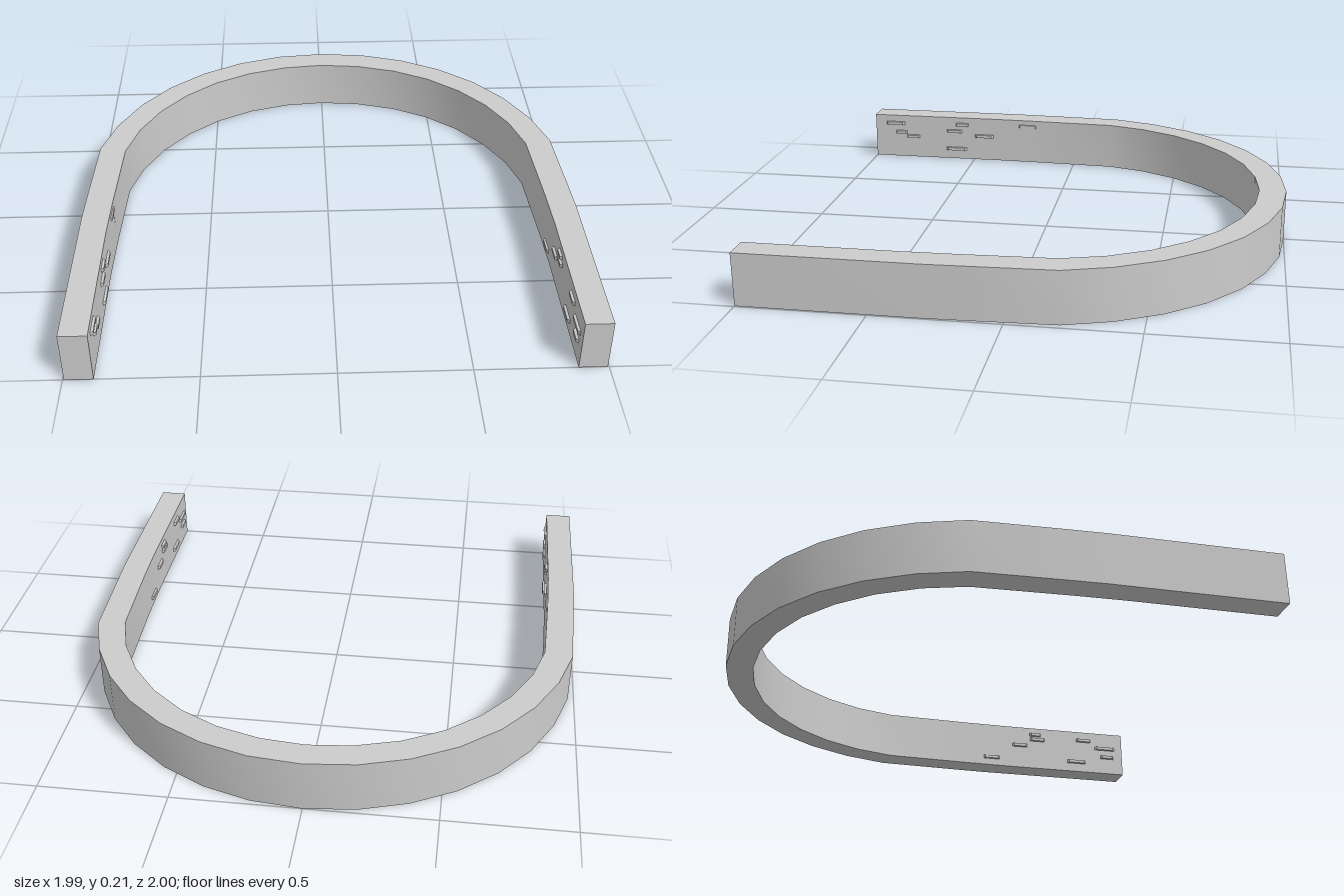
import * as THREE from 'three';
import { toCreasedNormals } from 'three/addons/utils/BufferGeometryUtils.js';

const HEIGHT = 0.21;

// half outlines as [x, z], from the middle of the bend to the open end
const OUTER = [[0, -1], [0.2, -0.98], [0.385, -0.923], [0.555, -0.832], [0.705, -0.708], [0.825, -0.56],
  [0.918, -0.385], [0.976, -0.2], [0.99, 0.15], [0.995, 0.3], [0.995, 1]];
const INNER = [[0, -0.89], [0.172, -0.873], [0.342, -0.823], [0.495, -0.742], [0.627, -0.632], [0.735, -0.5],
  [0.817, -0.345], [0.866, -0.18], [0.882, 0.2], [0.887, 0.4], [0.887, 1]];

// raised marks on each inner face: [z, y, length]
const RIGHT_MARKS = [[0.9, 0.17, 0.1], [0.81, 0.105, 0.07], [0.87, 0.125, 0.06], [0.59, 0.05, 0.11],
  [0.56, 0.175, 0.07], [0.6, 0.14, 0.08], [0.45, 0.12, 0.1], [0.23, 0.18, 0.1]];
const LEFT_MARKS = [[0.8, 0.165, 0.08], [0.91, 0.13, 0.11], [0.92, 0.085, 0.07], [0.76, 0.05, 0.1],
  [0.56, 0.15, 0.08], [0.47, 0.115, 0.08], [0.55, 0.175, 0.06], [0.325, 0.04, 0.09]];

// mirrors a half outline into a full one, running from -x to +x
function fullOutline(half) {
  const mirrored = half.slice(1).reverse().map(([x, z]) => [-x, z]);
  return [...mirrored, ...half].map(([x, z]) => new THREE.Vector2(x, z));
}

export function createModel() {
  const group = new THREE.Group();
  const grey = new THREE.MeshStandardMaterial({ color: 0xcccccc });
  grey.name = 'light grey';

  // U-shaped band, smooth around the bend with sharp rims
  const shape = new THREE.Shape([...fullOutline(OUTER), ...fullOutline(INNER).reverse()]);
  const bandGeometry = new THREE.ExtrudeGeometry(shape, { depth: HEIGHT, bevelEnabled: false });
  bandGeometry.rotateX(Math.PI / 2).translate(0, HEIGHT, 0);
  const band = new THREE.Mesh(toCreasedNormals(bandGeometry, Math.PI / 5), grey);
  band.name = 'horseshoeBand';
  group.add(band);

  // small chamfered bar whose narrow face points along +x
  const bar = new THREE.CylinderGeometry(0.75 * Math.SQRT1_2, Math.SQRT1_2, 1, 4)
    .rotateY(Math.PI / 4).rotateZ(-Math.PI / 2).toNonIndexed();
  bar.computeVertexNormals();

  // marks on the inner faces of both arms
  for (const [name, side, marks] of [['rightArmMarks', -1, RIGHT_MARKS], ['leftArmMarks', 1, LEFT_MARKS]]) {
    const set = new THREE.Group();
    set.name = name;
    marks.forEach(([z, y, length], i) => {
      const mark = new THREE.Mesh(bar, grey);
      mark.name = `raisedMark${i + 1}`;
      mark.scale.set(0.014, 0.018, length);
      mark.position.set(side * 0.884, y, z);
      if (side > 0) mark.rotation.y = Math.PI;
      set.add(mark);
    });
    group.add(set);
  }
  return group;
}
